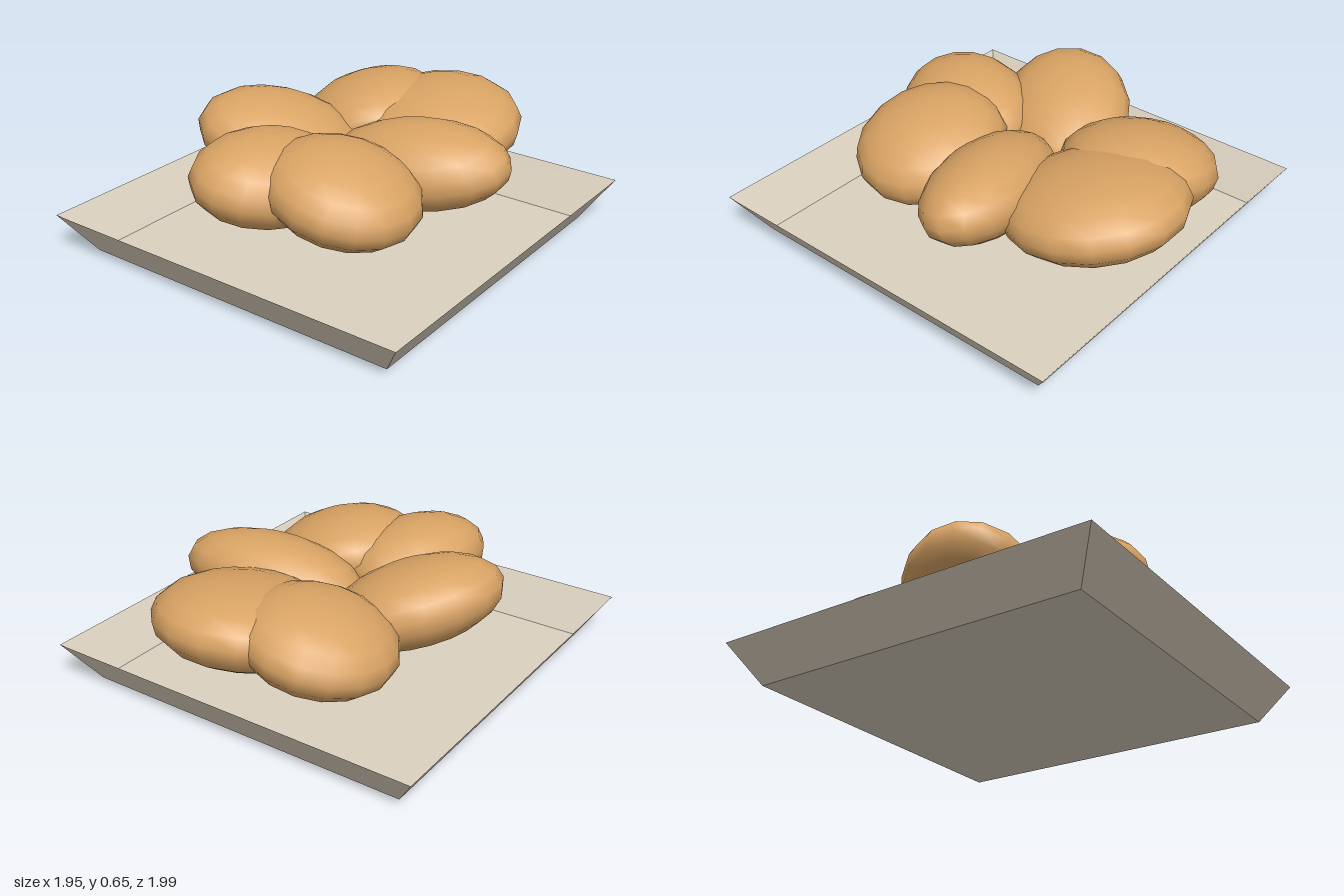
import * as THREE from 'three';

// Open square tray with sloping sides, holding six tilted bread buns.
export function createModel() {
  const model = new THREE.Group();
  model.name = 'bunTray';

  // Tray: thin floor and four flared walls as a four-sided lathe
  const trayMat = new THREE.MeshStandardMaterial({
    color: 0xdbd1c0, flatShading: true, side: THREE.DoubleSide,
  });
  const profile = [[0, 0], [0.867, 0], [1, 0.2]]
    .map(([r, y]) => new THREE.Vector2(r * Math.SQRT2, y));
  const trayGeo = new THREE.LatheGeometry(profile, 4, Math.PI / 4);
  trayGeo.scale(0.975, 1, 0.975);
  const tray = new THREE.Mesh(trayGeo, trayMat);
  tray.name = 'tray';
  tray.position.z = 0.025;
  model.add(tray);

  // Buns: one smooth low-poly ball, stretched, turned and tilted
  const bunMat = new THREE.MeshStandardMaterial({ color: 0xd9a364 });
  const bunGeo = new THREE.SphereGeometry(1, 16, 10);
  const buns = new THREE.Group();
  buns.name = 'buns';
  const addBun = (name, center, radii, yaw, tiltX, tiltZ) => {
    const bun = new THREE.Mesh(bunGeo, bunMat);
    bun.name = name;
    bun.position.set(...center);
    bun.scale.set(...radii);
    bun.rotation.set(tiltX, yaw, tiltZ, 'XZY'); // turn first, then tilt
    buns.add(bun);
  };
  addBun('backRightBun', [-0.24, 0.43, -0.54], [0.37, 0.2, 0.38], 0, 0.1, 0.22);
  addBun('backLeftBun', [0.14, 0.43, -0.57], [0.43, 0.2, 0.44], 0.2, 0.18, 0);
  addBun('leftBun', [0.33, 0.42, -0.11], [0.46, 0.2, 0.27], 0.25, 0.25, 0.04);
  addBun('rightBun', [-0.4, 0.425, 0.02], [0.42, 0.2, 0.33], 0.7, 0, -0.33);
  addBun('frontLeftBun', [0.23, 0.42, 0.345], [0.38, 0.2, 0.365], 0, 0, -0.25);
  addBun('frontRightBun', [-0.13, 0.425, 0.43], [0.31, 0.205, 0.39], -0.35, 0, -0.2);
  model.add(buns);

  return model;
}
